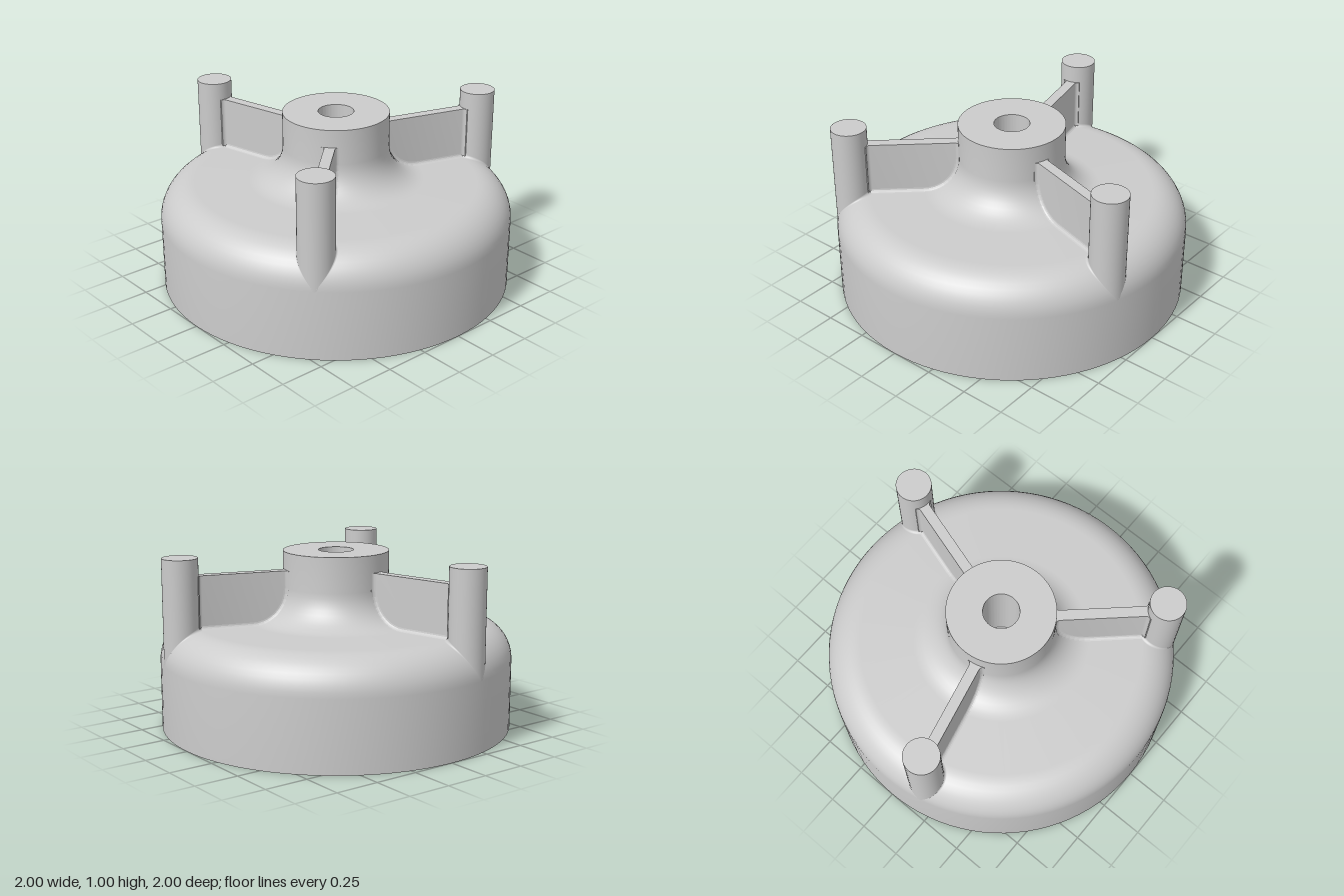
import * as THREE from 'three';
import { toCreasedNormals } from 'three/addons/utils/BufferGeometryUtils.js';
import { ParametricGeometry } from 'three/addons/geometries/ParametricGeometry.js';

const R = 0.2;          // large rounding radius
const FILLET = 0.02;    // small blend radius
const HALF_RIB = 0.03;
const POST_AT = 0.9, POST_R = 0.1;

const material = new THREE.MeshStandardMaterial({ color: 0xcccccc });
const skin = new THREE.MeshStandardMaterial({ color: 0xcccccc, side: THREE.DoubleSide });

function part(name, geometry, mat = material) {
  const mesh = new THREE.Mesh(geometry, mat);
  mesh.name = name;
  return mesh;
}

// Points on an arc from angle a to angle b, in degrees
function arc(cx, cy, r, a, b, n = 10) {
  return Array.from({ length: n + 1 }, (_, i) => {
    const t = THREE.MathUtils.degToRad(a + (b - a) * i / n);
    return new THREE.Vector2(cx + r * Math.cos(t), cy + r * Math.sin(t));
  });
}

// Height of the body's top at a distance from the axis
function topHeight(r) {
  if (r < 0.5) return 0.8 - Math.sqrt(Math.max(0, R * R - (0.5 - r) ** 2));
  if (r > 0.8) return 0.4 + Math.sqrt(Math.max(0, R * R - (r - 0.8) ** 2));
  return 0.6;
}

// Drum with rounded shoulder, flared hub and blind bore, as one turned solid
function bodyGeometry() {
  const p = (x, y) => new THREE.Vector2(x, y);
  const profile = [
    p(0, 0), p(1, 0),
    ...arc(0.8, 0.4, R, 0, 90),
    ...arc(0.5, 0.8, R, 270, 180),
    p(0.3, 1), p(0.1, 1), p(0.1, 0.5), p(0, 0.5),
  ];
  return toCreasedNormals(new THREE.LatheGeometry(profile, 96), 0.5);
}

// Upright web whose plan widens slightly where it meets hub and post
function ribGeometry() {
  const side = [
    new THREE.Vector2(0.2, HALF_RIB + FILLET),
    ...arc(0.317, HALF_RIB + FILLET, FILLET, 180, 270, 4),
    ...arc(0.788, HALF_RIB + FILLET, FILLET, 270, 360, 4),
    new THREE.Vector2(0.9, HALF_RIB + FILLET),
  ];
  const mirrored = side.map(q => new THREE.Vector2(q.x, -q.y));
  const outline = new THREE.Shape([...mirrored, ...side.reverse()]);
  const g = new THREE.ExtrudeGeometry(outline, { depth: 0.5, bevelEnabled: false });
  g.rotateX(-Math.PI / 2).translate(0, 0.4, 0);
  return toCreasedNormals(g, 0.5);
}

// Concave blend along the foot of the web, following hub flare and shoulder
function ribFootGeometry(sign) {
  const path = [...arc(0.5, 0.8, R, 180, 270), ...arc(0.8, 0.4, R, 90, 70, 4)];
  const normals = [...arc(0, 0, 1, 0, 90), ...arc(0, 0, 1, 90, 70, 4)];
  const n = path.length - 1;
  return new ParametricGeometry((u, v, target) => {
    const i = Math.round(u * n), a = v * Math.PI / 2;
    const lift = FILLET * (1 - Math.cos(a));
    const out = HALF_RIB + FILLET * (1 - Math.sin(a));
    target.set(path[i].x + normals[i].x * lift, path[i].y + normals[i].y * lift, sign * out);
  }, n, 4);
}

// Concave blend round the post, fading out toward the rim
function postFootGeometry() {
  return new ParametricGeometry((u, v, target) => {
    const t = u * Math.PI * 2, a = v * Math.PI / 2;
    const w = FILLET * (1 - Math.cos(t)) / 2;
    const r = POST_R + w * (1 - Math.sin(a));
    const x = POST_AT + r * Math.cos(t), z = r * Math.sin(t);
    const y = topHeight(Math.min(1, Math.hypot(x, z))) + w * (1 - Math.cos(a));
    target.set(x, y, z);
  }, 40, 4);
}

export function createModel() {
  const model = new THREE.Group();
  model.name = 'hubbedCap';
  model.add(part('body', bodyGeometry()));

  const postGeometry = new THREE.CylinderGeometry(POST_R, POST_R, 0.6, 40);
  postGeometry.translate(POST_AT, 0.7, 0);
  const rib = ribGeometry(), postFoot = postFootGeometry();
  const ribFeet = [1, -1].map(ribFootGeometry);

  // Three posts, each tied to the hub by a web
  for (let i = 0; i < 3; i++) {
    const arm = new THREE.Group();
    arm.name = `arm${i + 1}`;
    arm.add(part('post', postGeometry), part('rib', rib), part('postFoot', postFoot, skin));
    ribFeet.forEach(g => arm.add(part('ribFoot', g, skin)));
    arm.rotation.y = -THREE.MathUtils.degToRad(17.2 + 120 * i);
    model.add(arm);
  }
  return model;
}
